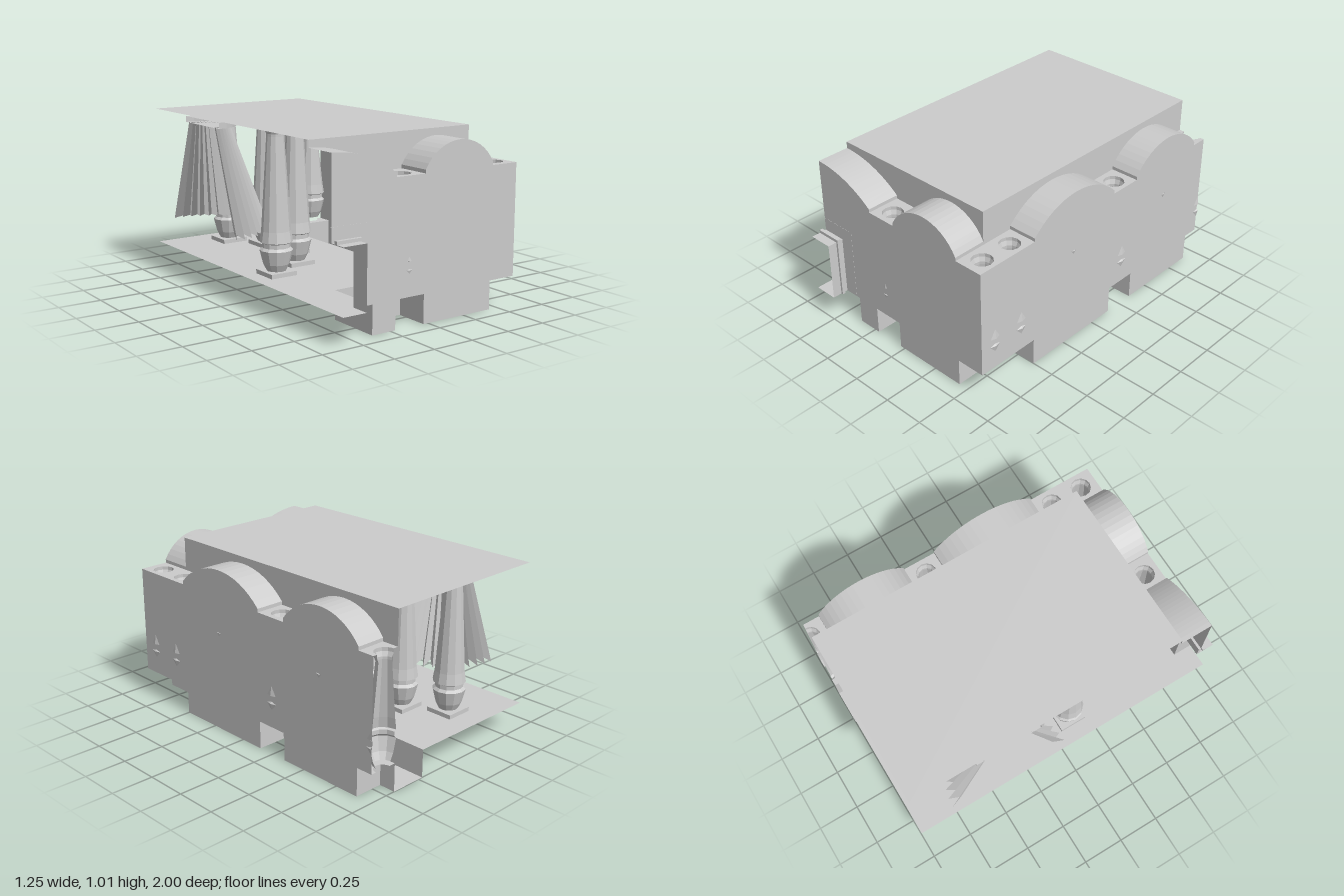
import * as THREE from 'three';

const FLOOR = 0.165, SPRING = 0.81, ROOF = 1.01;
const material = new THREE.MeshStandardMaterial({ color: 0xcccccc, flatShading: true, side: THREE.DoubleSide });

// Points along a vault arch from a to b; a half arch can be taken with from/to in 0..1
function arch(a, b, from = 0, to = 1) {
  const w = (b - a) / 2, base = 0.83, h = 0.97 - base, n = 16;
  const r = (w * w + h * h) / (2 * h), c = (a + b) / 2, half = Math.asin(Math.min(1, w / r));
  const pts = [];
  for (let i = 0; i <= n; i++) {
    const t = -half + 2 * half * (from + (to - from) * i / n);
    pts.push([c + r * Math.sin(t), 0.97 - r + r * Math.cos(t)]);
  }
  return pts;
}

const shapeOf = (pts) => new THREE.Shape(pts.map(([a, b]) => new THREE.Vector2(a, b)));

function circleHole(shape, x, y, r) {
  const hole = new THREE.Path();
  hole.absarc(x, y, r, 0, Math.PI * 2, true);
  shape.holes.push(hole);
}

// Sheet joining points (a) to points (b) in order
function sheet(a, b) {
  const pos = [];
  for (let i = 0; i < a.length - 1; i++) pos.push(...a[i], ...b[i], ...b[i + 1], ...a[i], ...b[i + 1], ...a[i + 1]);
  const g = new THREE.BufferGeometry();
  g.setAttribute('position', new THREE.Float32BufferAttribute(pos, 3));
  g.computeVertexNormals();
  return g;
}

export function createModel() {
  const model = new THREE.Group();
  const add = (name, geometry, parent = model) => {
    const mesh = new THREE.Mesh(geometry, material);
    mesh.name = name;
    parent.add(mesh);
    return mesh;
  };
  // Flat pieces: facing z, facing x (points are z,y) and horizontal (points are x,z)
  const flatZ = (name, shape, z) => add(name, new THREE.ShapeGeometry(shape).translate(0, 0, z));
  const flatX = (name, shape, x) => add(name, new THREE.ShapeGeometry(shape).rotateY(-Math.PI / 2).translate(x, 0, 0));
  const flatY = (name, shape, y) => add(name, new THREE.ShapeGeometry(shape, 6).rotateX(Math.PI / 2).translate(0, y, 0));
  const rect = (x0, x1, z0, z1) => shapeOf([[x0, z0], [x1, z0], [x1, z1], [x0, z1]]);

  // Vault profiles along the front aisle and the side aisle
  const S = SPRING;
  const frontLeft = [...arch(-1.03, -0.22, 0.5, 1), [-0.22, S]];
  const frontRight = [[-0.03, S], ...arch(-0.03, 0.44), [0.44, S]];
  const sideBack = [[-0.9, S], ...arch(-0.9, -0.35), [-0.35, S]];
  const sideFront = [[-0.15, S], ...arch(-0.15, 0.5), [0.5, S]];
  const frontTop = [...frontLeft, ...frontRight];
  const sideTop = [[-1, S], ...sideBack, ...sideFront];

  // Outer walls, stepped round the column plinths
  flatZ('frontWall', shapeOf([...frontTop, [0.615, S], [0.615, FLOOR], [0.44, FLOOR], [0.44, 0], [-0.03, 0],
    [-0.03, FLOOR], [-0.22, FLOOR], [-0.22, 0], [-0.37, 0], [-0.37, FLOOR], [-0.48, FLOOR], [-0.48, 0.52], [-0.625, 0.52]]), 0.9);
  flatX('sideWall', shapeOf([...sideTop, [0.9, S], [0.9, FLOOR], [0.5, FLOOR], [0.5, 0], [-0.15, 0], [-0.15, FLOOR],
    [-0.35, FLOOR], [-0.35, 0], [-0.9, 0], [-0.9, FLOOR], [-1, FLOOR]]), 0.615);

  // Walls above the arcades, and the hall ceiling
  flatZ('frontArcadeWall', shapeOf([...frontTop, [0.44, ROOF], [-0.625, ROOF]]), 0.7);
  flatX('sideArcadeWall', shapeOf([...sideTop, [0.7, S], [0.7, ROOF], [-1, ROOF]]), 0.44);
  flatY('ceiling', rect(-0.625, 0.44, -1, 0.7), ROOF);

  // Barrel vaults
  for (const p of [frontLeft, frontRight])
    add('frontVault', sheet(p.map(([x, y]) => [x, y, 0.7]), p.map(([x, y]) => [x, y, 0.9])));
  for (const p of [sideBack, sideFront])
    add('sideVault', sheet(p.map(([z, y]) => [0.44, y, z]), p.map(([z, y]) => [0.615, y, z])));

  // Plinths below and flat vault panels above the aisle columns
  const bays = [
    { box: [0.44, 0.615, 0.5, 0.9], at: [[0.53, 0.8], [0.53, 0.6]], open: true },
    { box: [0.44, 0.615, -0.35, -0.15], at: [[0.53, -0.25]], open: true },
    { box: [-0.22, -0.03, 0.7, 0.9], at: [[-0.13, 0.81]], open: false },
  ];
  for (const { box, at, open } of bays) {
    const top = rect(...box), bottom = rect(...box);
    for (const [x, z] of at) {
      circleHole(top, x, z, 0.06);
      if (open) circleHole(bottom, x, z, 0.05);
    }
    flatY('vaultPanel', top, S);
    flatY('plinthTop', bottom, FLOOR);
  }
  for (const [y, r] of [[S, 0.06], [FLOOR, 0.05]]) {
    const s = new THREE.Shape();
    s.moveTo(0.615, -1).lineTo(0.615, -0.9).lineTo(0.44, -0.9).lineTo(0.44, -1).lineTo(0.53 - r, -1);
    s.absarc(0.53, -1, r, Math.PI, 0, true);
    flatY('backPanel', s, y);
  }

  // Hall floor and the sunken aisle with its steps
  flatY('hallFloor', shapeOf([[-0.625, -1], [0.22, -1], [0.22, 0.57], [-0.37, 0.57], [-0.37, 0.9],
    [-0.48, 0.9], [-0.48, 1], [-0.625, 1]]), FLOOR);
  const pit = [[0.44, -1], [0.44, -0.9], [0.615, -0.9], [0.615, -0.35], [0.44, -0.35], [0.44, -0.15], [0.615, -0.15],
    [0.615, 0.5], [0.44, 0.5], [0.44, 0.9], [-0.03, 0.9], [-0.03, 0.7], [-0.22, 0.7], [-0.22, 0.9], [-0.37, 0.9],
    [-0.37, 0.57], [0.22, 0.57], [0.22, -1]];
  flatY('aisleFloor', shapeOf(pit), 0);
  for (let i = 0; i < pit.length - 1; i++) {
    const e = [pit[i], pit[i + 1]];
    if (e.every((p) => p[0] === 0.615) || e.every((p) => p[1] === 0.9)) continue;
    add('aisleStep', sheet(e.map(([x, z]) => [x, 0, z]), e.map(([x, z]) => [x, FLOOR, z])));
  }

  // Turned columns: bulb, ring, tapering shaft and flared capital
  function column(name, x, z, top, half = false) {
    const g = new THREE.Group();
    g.name = name;
    const profile = [[0.055, 0.19], [0.075, 0.23], [0.095, 0.31], [0.08, 0.325], [0.08, 0.35], [0.094, 0.357],
      [0.084, 0.42], [0.05, top - 0.06], [0.05, top - 0.045], [0.06, top - 0.02], [0.06, top]]
      .map(([r, y]) => new THREE.Vector2(r, y));
    add('shaft', half ? new THREE.LatheGeometry(profile, 6, -Math.PI / 2, Math.PI) : new THREE.LatheGeometry(profile, 12), g);
    const plate = (w, y, h) => {
      const s = rect(-w, w, half ? 0 : -w, w);
      if (!half) circleHole(s, 0, 0, 0.05);
      const p = new THREE.ExtrudeGeometry(s, { depth: h, bevelEnabled: false, curveSegments: 6 });
      add('plate', p.rotateX(Math.PI / 2).translate(0, y + h, 0), g);
    };
    if (!half) plate(0.083, FLOOR, 0.025);
    if (top === ROOF) plate(0.07, ROOF - 0.025, 0.02);
    g.position.set(x, 0, z);
    model.add(g);
  }
  for (const { at } of bays) for (const [x, z] of at) column('aisleColumn', x, z, S);
  column('backColumn', 0.53, -1, S, true);
  const centre = [-0.625, -0.4];
  for (const deg of [-45, -16, 13, 42, 71]) {
    const a = deg * Math.PI / 180;
    column('hallColumn', centre[0] + 0.54 * Math.cos(a), centre[1] + 0.54 * Math.sin(a), ROOF);
  }

  // Pleated canopy hanging from a half ring at the ceiling
  const upper = [], lower = [], folds = 44;
  for (let i = 0; i <= folds; i++) {
    const a = -Math.PI / 2 + Math.PI * i / folds, odd = i % 2;
    const at = (r, y) => [centre[0] + r * Math.cos(a), y, centre[1] + r * Math.sin(a)];
    upper.push(at(odd ? 0.13 : 0.16, 0.97));
    lower.push(at(odd ? 0.31 : 0.38, odd ? 0.38 : 0.355));
  }
  add('canopy', sheet(upper, lower));
  add('canopyRing', new THREE.CylinderGeometry(0.2, 0.2, 0.035, 12, 1, false, 0, Math.PI)
    .translate(centre[0], 0.985, centre[1]));

  // Wall lamps at the middle of each side bay
  for (const z of [0.185, -0.62])
    add('wallLamp', new THREE.ConeGeometry(0.034, 0.1, 8).rotateX(Math.PI).translate(0.589, 0.55, z));

  // Doorway: lining, raised rim and broad surround
  const lining = [[-0.48, FLOOR], [-0.48, 0.52], [-0.625, 0.52]];
  add('doorLining', sheet(lining.map(([x, y]) => [x, y, 0.9]), lining.map(([x, y]) => [x, y, 1])));
  const frame = (name, x0, x1, y0, y1, z, depth) => add(name, new THREE.ExtrudeGeometry(
    shapeOf([[x0, FLOOR], [x1, FLOOR], [x1, y1], [-0.625, y1], [-0.625, y0], [x0, y0]]),
    { depth, bevelEnabled: false }).translate(0, 0, z));
  frame('doorRim', -0.48, -0.467, 0.52, 0.538, 0.925, 0.02);
  frame('doorSurround', -0.48, -0.395, 0.52, 0.6, 0.885, 0.016);
  return model;
}
